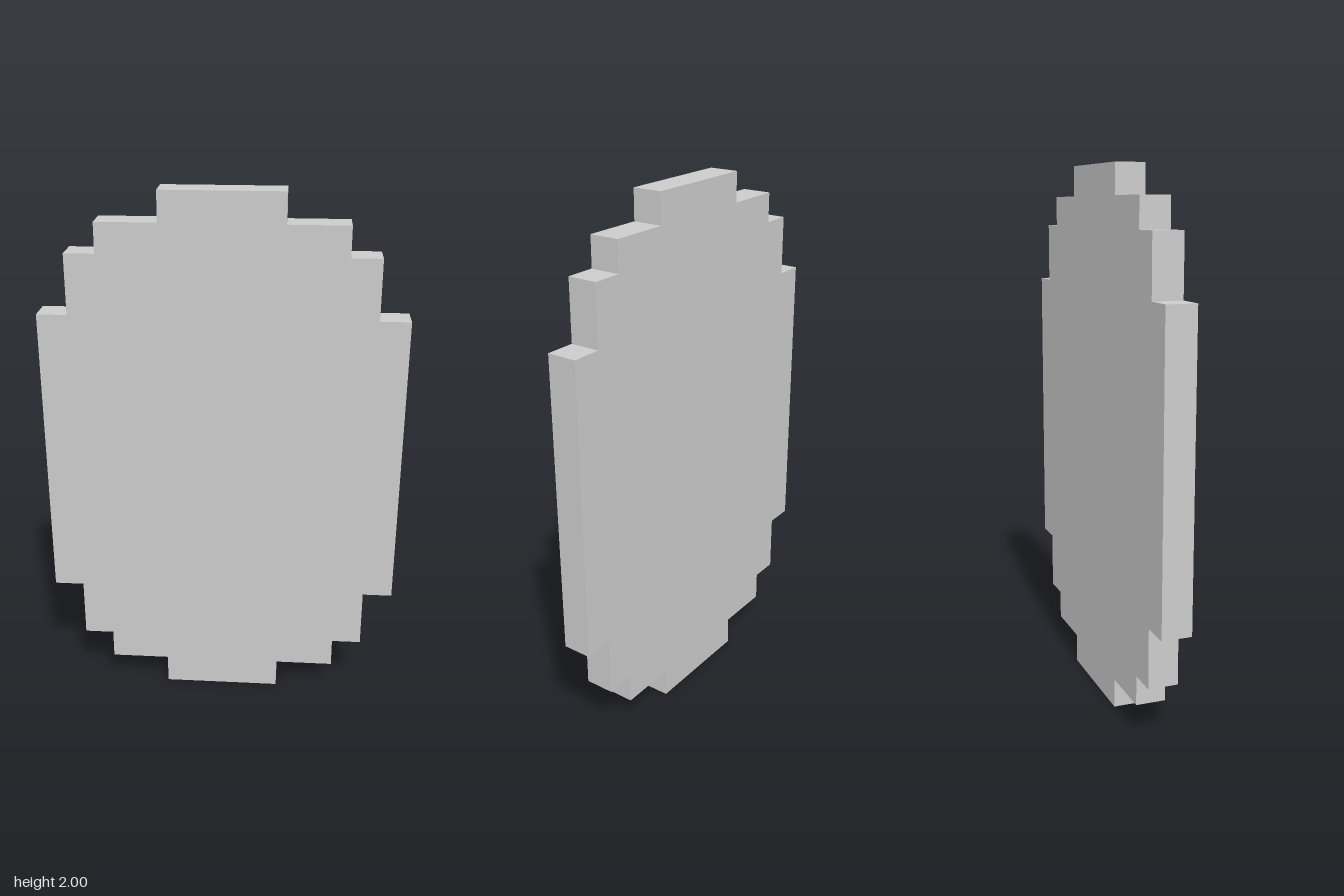
import * as THREE from 'three';

const UNIT = 1 / 9; // one pixel block: the disc is 18 blocks tall, 12 wide, 1 thick

// Stepped corner of the outline in blocks from the centre, side to top
const CORNER = [[6, 5], [5, 5], [5, 7], [4, 7], [4, 8], [2, 8], [2, 9]];

export function createModel() {
  const group = new THREE.Group();
  group.name = 'pixelCoin';

  // Mirror the corner into all four quadrants, counter-clockwise
  const reversed = [...CORNER].reverse();
  const outline = [
    ...CORNER,
    ...reversed.map(([x, y]) => [-x, y]),
    ...CORNER.map(([x, y]) => [-x, -y]),
    ...reversed.map(([x, y]) => [x, -y]),
  ].map(([x, y]) => new THREE.Vector2(x * UNIT, y * UNIT));

  // Flat slab, one block thick
  const geometry = new THREE.ExtrudeGeometry(new THREE.Shape(outline), {
    depth: UNIT,
    bevelEnabled: false,
  });
  geometry.translate(0, 1, -UNIT / 2);

  const disc = new THREE.Mesh(
    geometry,
    new THREE.MeshStandardMaterial({ color: 0xcccccc, flatShading: true })
  );
  disc.name = 'disc';
  group.add(disc);
  return group;
}
